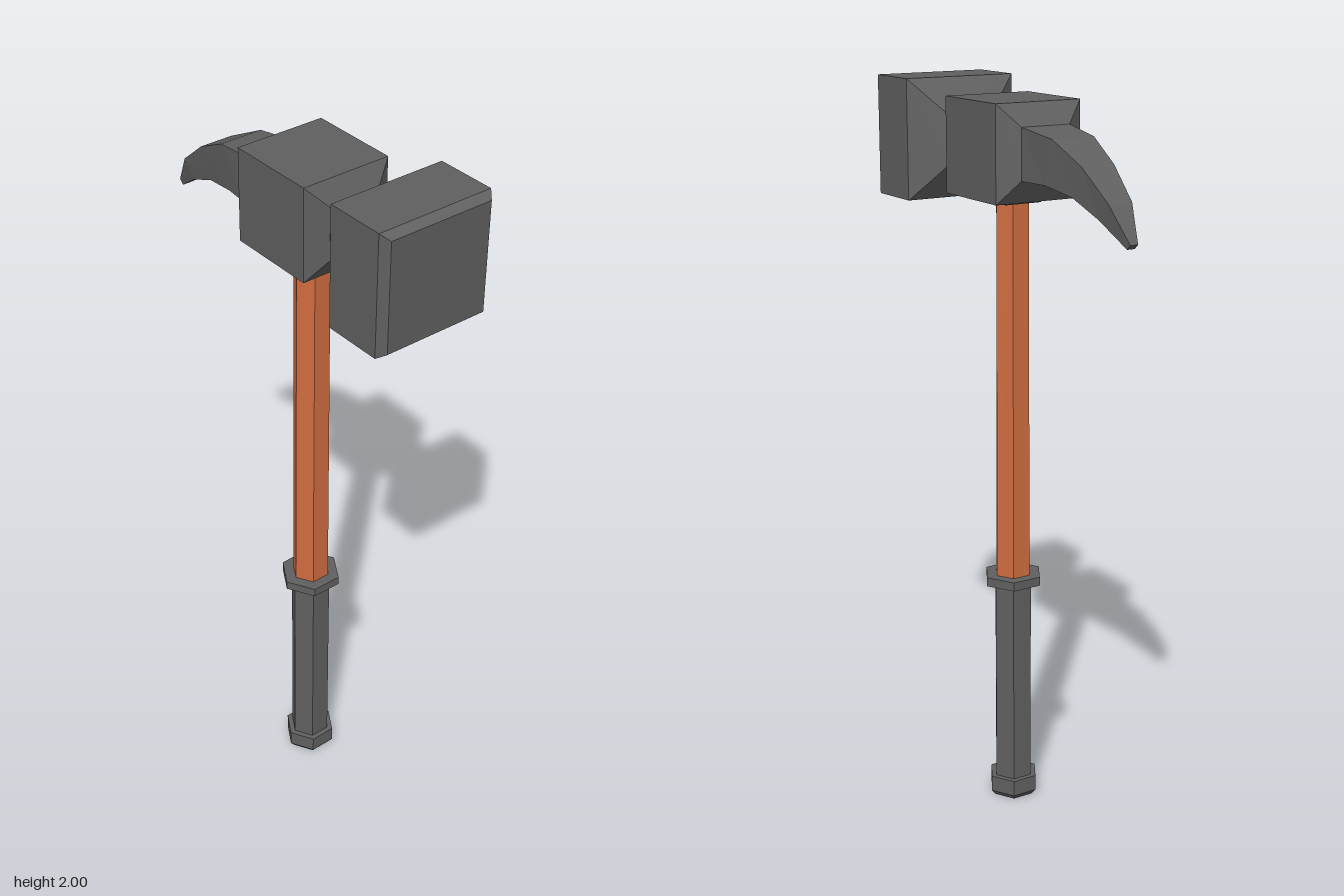
import * as THREE from 'three';

const steel = new THREE.MeshStandardMaterial({ color: 0x606060, flatShading: true });
const wood = new THREE.MeshStandardMaterial({ color: 0xd06c40, flatShading: true });
const HANDLE_X = 0.047;

// Hexagonal prism on the handle axis, corners facing +z and -z
function hex(name, rTop, rBottom, y0, y1, material) {
  const mesh = new THREE.Mesh(new THREE.CylinderGeometry(rTop, rBottom, y1 - y0, 6), material);
  mesh.position.set(HANDLE_X, (y0 + y1) / 2, 0);
  mesh.name = name;
  return mesh;
}

// Skin over four-cornered sections [xTop, yTop, xBottom, yBottom, halfDepth], ordered from +x to -x
function loft(sections) {
  const positions = [];
  const index = [];
  for (const [xt, yt, xb, yb, d] of sections) {
    positions.push(xt, yt, d, xt, yt, -d, xb, yb, -d, xb, yb, d);
  }
  for (let s = 0; s < sections.length - 1; s++) {
    for (let i = 0; i < 4; i++) {
      const a = s * 4 + i, b = s * 4 + (i + 1) % 4;
      index.push(a, b, b + 4, a, b + 4, a + 4);
    }
  }
  const e = (sections.length - 1) * 4;
  index.push(0, 2, 1, 0, 3, 2, e, e + 1, e + 2, e, e + 2, e + 3);
  const indexed = new THREE.BufferGeometry();
  indexed.setAttribute('position', new THREE.Float32BufferAttribute(positions, 3));
  indexed.setIndex(index);
  const geometry = indexed.toNonIndexed();
  geometry.computeVertexNormals();
  return geometry;
}

// Upright section: same x at top and bottom
const slab = (x, yTop, yBottom, depth) => [x, yTop, x, yBottom, depth];

export function createModel() {
  const model = new THREE.Group();
  model.name = 'hammer';

  // Handle from the bottom up
  const handle = new THREE.Group();
  handle.name = 'handle';
  handle.add(
    hex('pommelBevel', 0.072, 0.06, 0, 0.015, steel),
    hex('pommel', 0.072, 0.072, 0.015, 0.06, steel),
    hex('grip', 0.056, 0.056, 0.06, 0.645, steel),
    hex('gripFlange', 0.084, 0.084, 0.645, 0.67, steel),
    hex('shaft', 0.048, 0.052, 0.67, 1.73, wood),
  );
  model.add(handle);

  // Head: striking face, neck, body and curved spike in one skin
  const head = new THREE.Mesh(loft([
    slab(0.5, 1.985, 1.695, 0.145),
    slab(0.478, 2.0, 1.68, 0.162),
    slab(0.315, 2.0, 1.68, 0.162),
    slab(0.263, 1.91, 1.77, 0.071),
    slab(0.203, 1.91, 1.77, 0.071),
    slab(0.172, 1.965, 1.715, 0.125),
    slab(-0.078, 1.965, 1.715, 0.125),
    slab(-0.112, 1.908, 1.775, 0.071),
    [-0.237, 1.89, -0.205, 1.775, 0.061],
    [-0.345, 1.835, -0.305, 1.757, 0.047],
    [-0.44, 1.758, -0.4, 1.715, 0.034],
    [-0.5, 1.667, -0.487, 1.655, 0.011],
  ]), steel);
  head.name = 'head';
  model.add(head);

  // Tapered square collar where the shaft enters the head
  const collarGeometry = new THREE.CylinderGeometry(0.064 * Math.SQRT2, 0.053 * Math.SQRT2, 0.02, 4);
  collarGeometry.rotateY(Math.PI / 4);
  const collar = new THREE.Mesh(collarGeometry, steel);
  collar.position.set(HANDLE_X, 1.71, 0);
  collar.name = 'collar';
  model.add(collar);

  return model;
}
